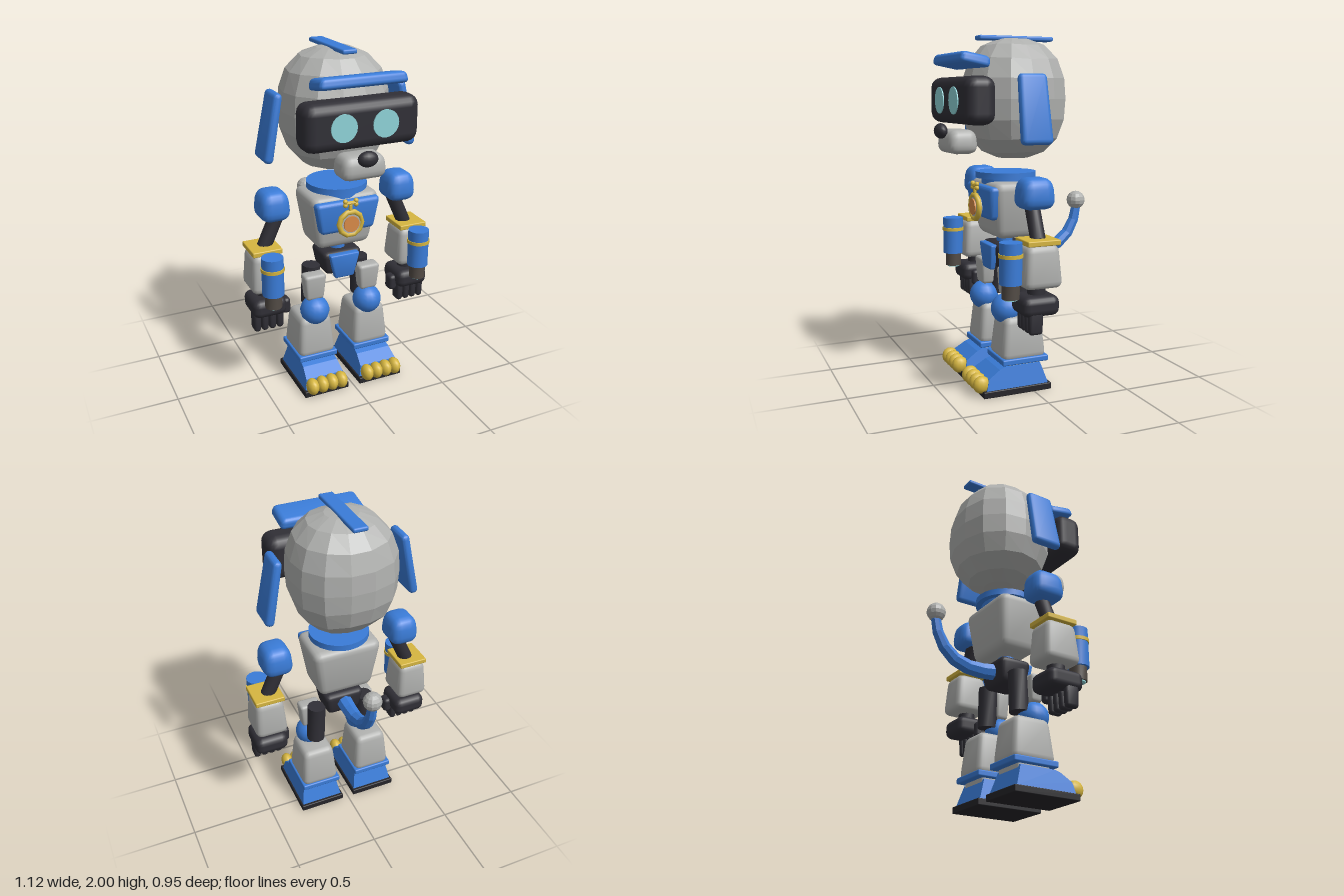
import * as THREE from 'three';
import { RoundedBoxGeometry } from 'three/addons/geometries/RoundedBoxGeometry.js';
import { toCreasedNormals } from 'three/addons/utils/BufferGeometryUtils.js';

const paint = (name, color) => Object.assign(new THREE.MeshStandardMaterial({ color }), { name });

export function createModel() {
  const grey = paint('light grey', 0xb0b1af);
  const blue = paint('blue', 0x3a7cd8);
  const dark = paint('charcoal', 0x302f36);
  const black = paint('sole black', 0x262529);
  const gold = paint('gold', 0xd6b640);
  const cyan = paint('lens cyan', 0x8fd4d8);
  const orange = paint('medal orange', 0xd98b48);
  const brown = paint('nozzle brown', 0x524b45);

  const model = new THREE.Group();
  model.name = 'robotDog';

  const add = (parent, name, geo, mat, x = 0, y = 0, z = 0) => {
    const mesh = new THREE.Mesh(geo, mat);
    mesh.name = name;
    mesh.position.set(x, y, z);
    parent.add(mesh);
    return mesh;
  };

  // Rounded block whose top and bottom are scaled in x and z
  const block = (w, h, d, r = 0.02, top = 1, bottom = 1, seg = 2) => {
    const geo = new RoundedBoxGeometry(w, h, d, seg, Math.min(r, w / 2.01, h / 2.01, d / 2.01));
    if (top === 1 && bottom === 1) return geo;
    const p = geo.attributes.position;
    for (let i = 0; i < p.count; i++) {
      const s = THREE.MathUtils.lerp(bottom, top, p.getY(i) / h + 0.5);
      p.setX(i, p.getX(i) * s);
      p.setZ(i, p.getZ(i) * s);
    }
    return toCreasedNormals(geo, 0.6);
  };
  const ball = (rx, ry = rx, rz = rx, n = 14) => new THREE.SphereGeometry(1, n, Math.round(n * 0.7)).scale(rx, ry, rz);
  const cyl = (rt, rb, h, n = 16) => toCreasedNormals(new THREE.CylinderGeometry(rt, rb, h, n), 0.6);
  const disc = (r, h, n = 20) => cyl(r, r, h, n).rotateX(Math.PI / 2);
  const flat = (geo) => {
    const g = geo.index ? geo.toNonIndexed() : geo;
    g.computeVertexNormals();
    return g;
  };

  // Rod between two points
  const rod = (parent, name, a, b, r, mat) => {
    const from = new THREE.Vector3(...a), to = new THREE.Vector3(...b);
    const dir = to.clone().sub(from);
    const mesh = add(parent, name, cyl(r, r, dir.length(), 12), mat);
    mesh.position.copy(from.add(to).multiplyScalar(0.5));
    mesh.quaternion.setFromUnitVectors(new THREE.Vector3(0, 1, 0), dir.normalize());
    return mesh;
  };

  // Head: faceted, slightly boxy ball
  const head = new THREE.Group();
  head.name = 'head';
  model.add(head);
  const skull = new THREE.SphereGeometry(1, 14, 10);
  const sp = skull.attributes.position;
  for (let i = 0; i < sp.count; i++) {
    const v = [sp.getX(i), sp.getY(i), sp.getZ(i)];
    const n = Math.pow(v.reduce((s, c) => s + Math.pow(Math.abs(c), 2.5), 0), 1 / 2.5);
    sp.setXYZ(i, v[0] / n, v[1] / n, v[2] / n);
  }
  add(head, 'skull', flat(skull.scale(0.3, 0.342, 0.287)), grey, 0, 1.648, 0);
  add(head, 'crest', block(0.085, 0.026, 0.455, 0.01), blue, 0, 1.987, -0.012);
  const brow = add(head, 'brow', block(0.51, 0.062, 0.175, 0.025, 0.95, 1), blue, 0, 1.858, 0.313);
  brow.rotation.x = -0.19;
  add(head, 'visor', block(0.665, 0.26, 0.175, 0.06), dark, 0, 1.64, 0.31);
  add(head, 'muzzle', block(0.27, 0.135, 0.175, 0.05, 0.9, 1), grey, 0, 1.413, 0.338);
  add(head, 'nose', ball(0.058, 0.043, 0.037), dark, 0, 1.472, 0.435);
  for (const s of [-1, 1]) {
    add(head, 'eye', disc(0.075, 0.008), cyan, s * 0.12, 1.64, 0.4);
    const ear = add(head, 'ear', block(0.055, 0.38, 0.185, 0.025, 0.88, 1), blue, s * 0.4, 1.595, 0.045);
    ear.rotation.z = s * 0.19;
  }

  // Torso
  const body = new THREE.Group();
  body.name = 'body';
  model.add(body);
  add(body, 'collar', cyl(0.175, 0.175, 0.036, 24), blue, 0, 1.217, 0.043);
  add(body, 'neck', cyl(0.14, 0.14, 0.04, 24), blue, 0, 1.185, 0.043);
  add(body, 'chest', block(0.42, 0.325, 0.3, 0.05, 1.02, 0.78), grey, 0, 1.023, 0.04);
  add(body, 'chestPlate', block(0.4, 0.19, 0.125, 0.025, 1, 0.82), blue, 0, 1.067, 0.155);
  add(body, 'waist', cyl(0.048, 0.048, 0.1, 12), blue, 0, 0.84, 0.05);
  add(body, 'pelvis', block(0.255, 0.15, 0.21, 0.035, 1, 0.78), dark, 0, 0.75, 0.045);
  add(body, 'pelvisPlate', block(0.19, 0.15, 0.05, 0.012, 1, 0.62), blue, 0, 0.742, 0.15);

  // Medal with a bone-shaped clasp
  const medal = new THREE.Group();
  medal.name = 'medal';
  medal.position.set(0, 1.035, 0.235);
  body.add(medal);
  add(medal, 'medalRing', new THREE.TorusGeometry(0.07, 0.016, 8, 10), gold);
  add(medal, 'medalBack', disc(0.068, 0.03, 16), grey, 0, 0, -0.005);
  add(medal, 'medalCentre', disc(0.047, 0.012), orange, 0, 0, 0.012);
  add(medal, 'claspLink', block(0.02, 0.04, 0.016, 0.005), gold, 0, 0.095, 0);
  add(medal, 'claspBar', cyl(0.011, 0.011, 0.06, 8).rotateZ(Math.PI / 2), gold, 0, 0.122, 0);
  for (const x of [-0.033, 0.033])
    for (const y of [0.111, 0.133]) add(medal, 'claspKnob', ball(0.014, 0.014, 0.014, 10), gold, x, y, 0);

  // Tail: tapering faceted tube with a ball at the tip
  const path = new THREE.CatmullRomCurve3([
    [0.76, -0.03], [0.752, -0.19], [0.8, -0.32], [0.9, -0.395], [1.01, -0.422],
  ].map(([y, z]) => new THREE.Vector3(0, y, z)));
  const steps = 6, sides = 8;
  const tail = new THREE.TubeGeometry(path, steps, 0.05, sides, false);
  const tp = tail.attributes.position;
  for (let i = 0; i < tp.count; i++) {
    const t = Math.floor(i / (sides + 1)) / steps;
    const c = path.getPointAt(t);
    const v = new THREE.Vector3().fromBufferAttribute(tp, i).sub(c).multiplyScalar(1 - 0.45 * t).add(c);
    tp.setXYZ(i, v.x, v.y, v.z);
  }
  add(body, 'tail', flat(tail), blue);
  add(body, 'tailTip', flat(ball(0.055, 0.055, 0.055, 12)), grey, 0, 1.04, -0.419);

  for (const s of [-1, 1]) {
    // Arm
    const arm = new THREE.Group();
    arm.name = s > 0 ? 'leftArm' : 'rightArm';
    model.add(arm);
    const ax = s * 0.462;
    add(arm, 'shoulder', block(0.185, 0.172, 0.21, 0.06, 0.84, 1), blue, s * 0.395, 1.148, 0.042);
    rod(arm, 'upperArm', [s * 0.36, 1.1, 0.045], [s * 0.45, 0.9, 0.045], 0.042, dark);
    add(arm, 'cuff', block(0.175, 0.03, 0.19, 0.006), gold, ax, 0.9, 0.052);
    add(arm, 'forearm', block(0.2, 0.235, 0.225, 0.04, 0.82, 1), grey, ax, 0.77, 0.052);
    add(arm, 'canister', cyl(0.062, 0.062, 0.225), blue, ax, 0.792, 0.21);
    add(arm, 'canisterBand', cyl(0.067, 0.067, 0.02), gold, ax, 0.834, 0.21);
    add(arm, 'nozzle', cyl(0.048, 0.048, 0.08), brown, ax, 0.64, 0.21);
    add(arm, 'nozzleLens', cyl(0.038, 0.038, 0.008), cyan, ax, 0.597, 0.21);
    add(arm, 'wrist', cyl(0.05, 0.05, 0.08, 12), dark, ax, 0.63, 0.06);
    add(arm, 'palm', block(0.2, 0.11, 0.215, 0.04), dark, ax, 0.56, 0.066);
    add(arm, 'thumb', block(0.05, 0.095, 0.075, 0.02), dark, s * 0.35, 0.532, 0.09);
    for (let i = 0; i < 4; i++)
      add(arm, 'finger', block(0.043, 0.13, 0.085, 0.018, 1, 0.9), dark, s * (0.395 + i * 0.046), 0.474, 0.098);

    // Leg
    const leg = new THREE.Group();
    leg.name = s > 0 ? 'leftLeg' : 'rightLeg';
    model.add(leg);
    const lx = s * 0.177;
    rod(leg, 'thigh', [s * 0.155, 0.72, 0.025], [s * 0.165, 0.48, 0.025], 0.055, dark);
    add(leg, 'thighPlate', block(0.138, 0.16, 0.09, 0.02, 1, 0.78), grey, s * 0.174, 0.62, 0.105);
    add(leg, 'knee', ball(0.087, 0.087, 0.087, 16), blue, s * 0.172, 0.465, 0.115);
    add(leg, 'shin', block(0.236, 0.25, 0.272, 0.04, 0.8, 1), grey, lx, 0.307, 0.045);
    add(leg, 'ankleBand', block(0.244, 0.035, 0.28, 0.008), blue, lx, 0.182, 0.045);
    add(leg, 'ankle', block(0.19, 0.05, 0.2, 0.01), grey, lx, 0.155, 0.045);

    // Shoe: side profile extruded across the foot, narrower at the top
    const profile = new THREE.Shape([
      [-0.09, 0.035], [0.285, 0.035], [0.27, 0.1], [0.2, 0.145], [0.17, 0.155], [-0.05, 0.155],
    ].map((p) => new THREE.Vector2(...p)));
    const shoe = new THREE.ExtrudeGeometry(profile, { depth: 0.256, bevelEnabled: false });
    shoe.translate(0, 0, -0.128).rotateY(-Math.PI / 2);
    const p = shoe.attributes.position;
    for (let i = 0; i < p.count; i++) p.setX(i, p.getX(i) * (1.02 - 1.5 * (p.getY(i) - 0.035)));
    add(leg, 'shoe', flat(shoe), blue, lx, 0, 0);
    add(leg, 'sole', block(0.28, 0.038, 0.413, 0.005), black, lx, 0.019, 0.1);
    for (let i = 0; i < 4; i++)
      add(leg, 'toe', ball(0.037, 0.05, 0.05, 12), gold, s * (0.087 + i * 0.061), 0.07, 0.305);
  }

  return model;
}
